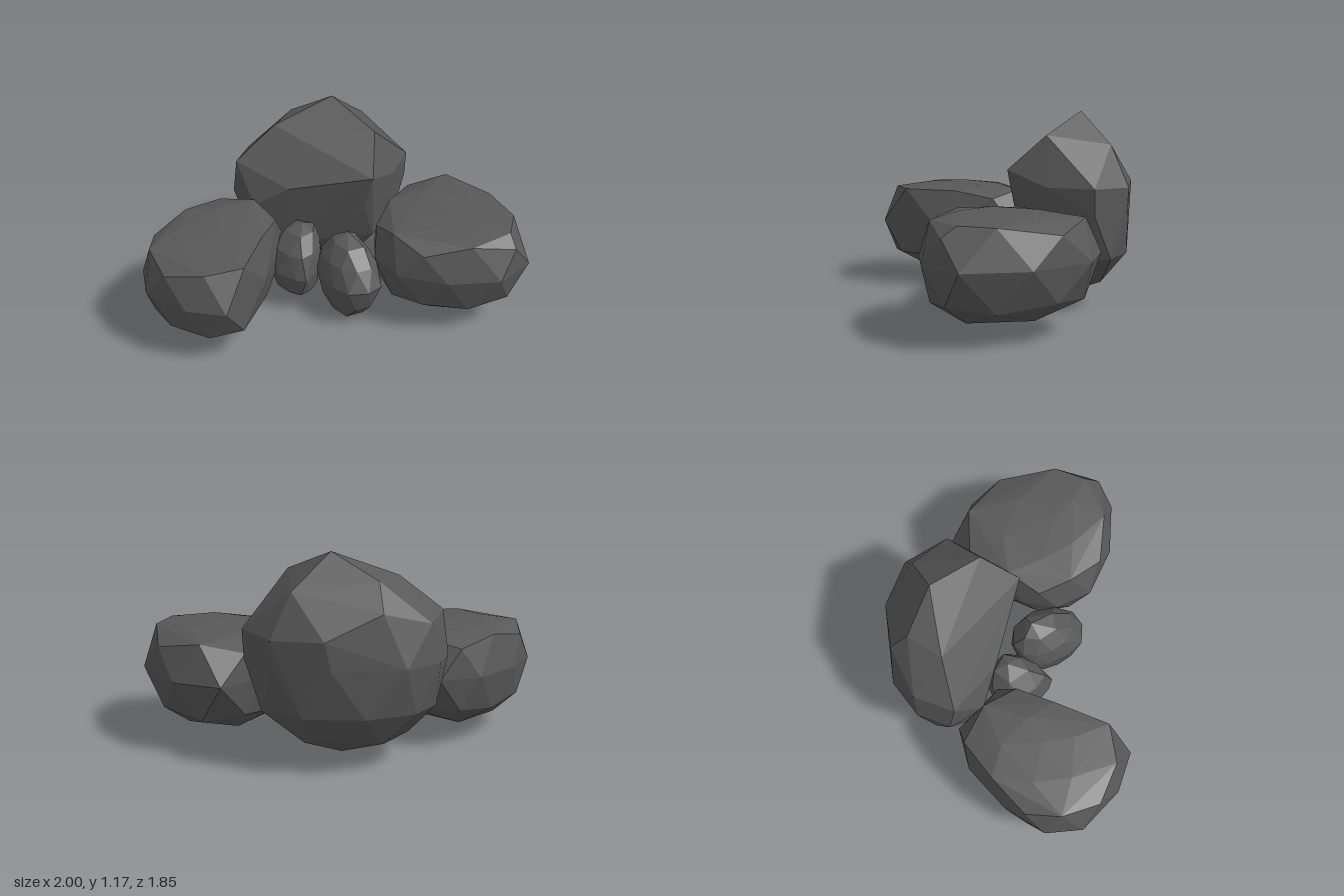
import * as THREE from 'three';
import { ConvexGeometry } from 'three/addons/geometries/ConvexGeometry.js';

const stone = new THREE.MeshStandardMaterial({ color: 0x585858, flatShading: true });

// A rock is the hull of its widest outline [x, z], repeated at several levels
// [y, scale, start, step, shiftX, shiftZ], plus single corner points [x, y, z].
// A start of 0.5 places the corners halfway between those of the outline,
// which gives the rock its triangular facets.
function rock(name, outline, levels, corners) {
  const n = outline.length;
  const cx = outline.reduce((s, p) => s + p[0], 0) / n;
  const cz = outline.reduce((s, p) => s + p[1], 0) / n;
  const points = corners.map((p) => new THREE.Vector3(...p));
  for (const [y, scale, start = 0, step = 1, dx = 0, dz = 0] of levels) {
    for (let t = start; t < n; t += step) {
      const a = outline[Math.floor(t)];
      const b = outline[Math.ceil(t) % n];
      points.push(new THREE.Vector3(
        cx + ((a[0] + b[0]) / 2 - cx) * scale + dx,
        y,
        cz + ((a[1] + b[1]) / 2 - cz) * scale + dz));
    }
  }
  const mesh = new THREE.Mesh(new ConvexGeometry(points), stone);
  mesh.name = name;
  return mesh;
}

export function createModel() {
  const group = new THREE.Group();
  group.name = 'rockPile';

  // long flat boulder reaching forward
  group.add(rock('frontBoulder',
    [[-0.8, -0.05], [-0.95, 0.15], [-1, 0.46], [-0.97, 0.73], [-0.82, 0.89],
      [-0.52, 0.92], [-0.29, 0.84], [-0.28, 0.45], [-0.38, 0.2], [-0.47, -0.02]],
    [[0.42, 1], [0.59, 0.97, 0.5, 2], [0.635, 0.88, 1.5, 2], [0.655, 0.5, 0.5, 2],
      [0.23, 0.95, 0.5, 2], [0.2, 0.9, 1.5, 2], [0.105, 0.58, 0.5, 2]],
    [[-0.28, 0.64, 0.66], [-0.28, 0.22, 0.7], [-0.6, 0.66, 0.43], [-0.64, 0.07, 0.43]]));

  // broad flat boulder on the side
  group.add(rock('sideBoulder',
    [[0.04, -0.5], [0.1, -0.86], [0.39, -0.93], [0.77, -0.77], [1, -0.47],
      [0.93, -0.21], [0.67, -0.03], [0.37, 0.04], [0.17, -0.06], [0.06, -0.26]],
    [[0.42, 1], [0.58, 0.98, 0.5, 2], [0.635, 0.88, 1.5, 2], [0.655, 0.52, 0.5, 2],
      [0.22, 0.93, 0.5, 2], [0.19, 0.88, 1.5, 2], [0.1, 0.57, 0.5, 2]],
    [[0.89, 0.64, -0.4], [0.57, 0.66, -0.38], [0.4, 0.07, -0.4]]));

  // tall peaked boulder at the back
  group.add(rock('tallBoulder',
    [[-0.26, -0.87], [0, -0.78], [0.03, -0.48], [-0.02, -0.27], [-0.38, -0.11],
      [-0.64, 0.02], [-0.85, -0.06], [-0.91, -0.25], [-0.85, -0.49], [-0.57, -0.77]],
    [[0.59, 1], [0.33, 0.94, 0.5, 1, 0, -0.02], [0.15, 0.6, 0, 2]],
    [[-0.39, 1.17, -0.52], [-0.66, 1.03, -0.47], [-0.64, 1.03, -0.24],
      [-0.05, 1.04, -0.45], [0.05, 0.84, -0.25], [0.05, 0.75, -0.5],
      [-0.43, 0.73, -0.05], [-0.8, 0.83, -0.04], [-0.87, 0.8, -0.28],
      [-0.74, 0.88, -0.55], [-0.3, 0.98, -0.75], [0.01, 0.75, -0.78],
      [-0.54, 0.75, -0.79], [-0.26, 0.74, -0.88], [-0.42, 0.055, -0.46]]));

  // two small stones in the middle
  group.add(rock('leftSmallStone',
    [[-0.18, 0.02], [-0.18, 0.17], [-0.24, 0.19], [-0.38, 0.19], [-0.48, 0.12],
      [-0.51, 0], [-0.47, -0.1], [-0.39, -0.14], [-0.26, -0.14], [-0.21, -0.06]],
    [[0.26, 1], [0.4, 0.9, 0.5, 1, 0, -0.02], [0.49, 0.55, 0, 2, 0, -0.05],
      [0.13, 0.85, 0.5, 1], [0.08, 0.5, 0, 2]],
    [[-0.33, 0.52, -0.05], [-0.36, 0.06, 0.02]]));

  group.add(rock('middleSmallStone',
    [[-0.21, -0.06], [-0.19, 0.03], [-0.11, 0.1], [0, 0.15], [0.12, 0.17],
      [0.22, 0.1], [0.25, 0], [0.18, -0.11], [0, -0.22], [-0.16, -0.17]],
    [[0.27, 1], [0.39, 0.88, 0.5, 1, -0.02, -0.03], [0.48, 0.5, 0, 2, -0.03, -0.05],
      [0.13, 0.84, 0.5, 1, 0, 0.01], [0.04, 0.5, 0, 2, 0, 0.02]],
    [[-0.04, 0.52, -0.1], [0.04, 0, 0], [-0.05, 0.01, 0]]));

  return group;
}
